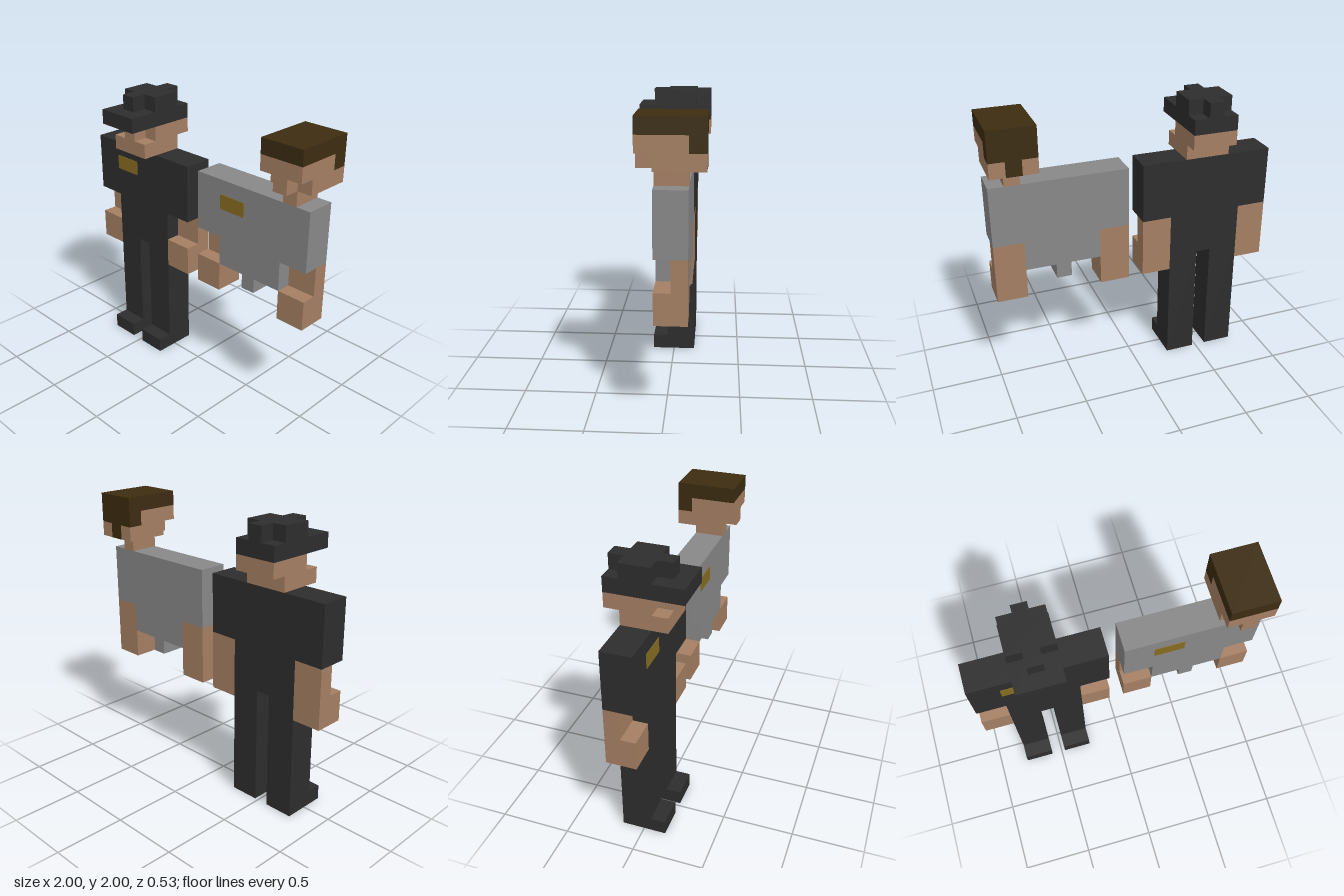
import * as THREE from 'three';

const U = 2 / 19; // one block

const mat = (name, color) => {
  const m = new THREE.MeshStandardMaterial({ color });
  m.name = name;
  return m;
};

export function createModel() {
  const black = mat('black cloth', 0x2d2d2d);
  const grey = mat('grey shirt', 0x888888);
  const skin = mat('skin', 0xa57f63);
  const hair = mat('dark brown hair', 0x3c2c11);
  const gold = mat('gold badge', 0x866c20);

  // Box between block coordinates, x measured from the figure's right edge
  const box = (parent, name, m, x0, x1, y0, y1, z0, z1) => {
    const g = new THREE.BoxGeometry((x1 - x0) * U, (y1 - y0) * U, (z1 - z0) * U);
    const mesh = new THREE.Mesh(g, m);
    mesh.position.set((x0 + x1) / 2 * U, (y0 + y1) / 2 * U, ((z0 + z1) / 2 - 2.5) * U);
    mesh.name = name;
    parent.add(mesh);
    return mesh;
  };

  // Shoulders, trunk, bent arms and chest badge shared by both figures
  const upperBody = (name, x, shirt, trunkBottom) => {
    const f = new THREE.Group();
    f.name = name;
    f.position.x = -1 + x * U;
    box(f, 'shoulders', shirt, 0, 9, 11, 15, 1, 3);
    box(f, 'trunk', shirt, 2, 7, trunkBottom, 11, 1, 3);
    for (const [side, a] of [['right', 0], ['left', 7]]) {
      box(f, side + 'UpperArm', skin, a, a + 2, 9, 11, 1, 2);
      box(f, side + 'Hand', skin, a, a + 2, 7, 9, 1, 3);
    }
    box(f, 'badge', gold, 2, 4, 13, 14, 3, 3.04);
    return f;
  };

  // Standing figure with cap
  const standing = upperBody('standingFigure', 0, black, 8);
  for (const [side, a] of [['right', 2], ['left', 5]]) {
    box(standing, side + 'Leg', black, a, a + 2, 0, 8, 1, 3);
    box(standing, side + 'Foot', black, a, a + 2, 0, 1, 3, 4);
  }
  box(standing, 'jaw', skin, 3, 6, 15, 16, 1, 4);
  box(standing, 'face', skin, 3, 6, 16, 17, 0, 3);
  box(standing, 'nose', skin, 4, 5, 16, 17, 3, 4);
  box(standing, 'capBrim', black, 3, 6, 17, 18, 0, 5);
  box(standing, 'capCrown', black, 3, 6, 18, 19, 1, 3);
  box(standing, 'capCrownBack', black, 4, 5, 18, 19, 0, 1);
  box(standing, 'capCrownFront', black, 4, 5, 18, 19, 3, 4);

  // Half figure with bare head, set toward its left shoulder
  const half = upperBody('halfFigure', 10, grey, 9);
  box(half, 'shirtTail', grey, 4, 5, 8, 9, 1, 3);
  box(half, 'neck', skin, 7, 8, 15, 16, 1, 3);
  box(half, 'jaw', skin, 6, 9, 16, 17, 0, 3);
  box(half, 'nose', skin, 7, 8, 16, 17, 3, 4);
  box(half, 'face', skin, 6, 9, 17, 18, 1, 4);
  box(half, 'hairTop', hair, 6, 9, 18, 19, 0, 4);
  box(half, 'hairBack', hair, 6, 9, 17, 18, 0, 1);
  box(half, 'hairNape', hair, 7, 8, 16, 17, -0.02, 0);

  const model = new THREE.Group();
  model.name = 'figures';
  model.add(standing, half);
  return model;
}
